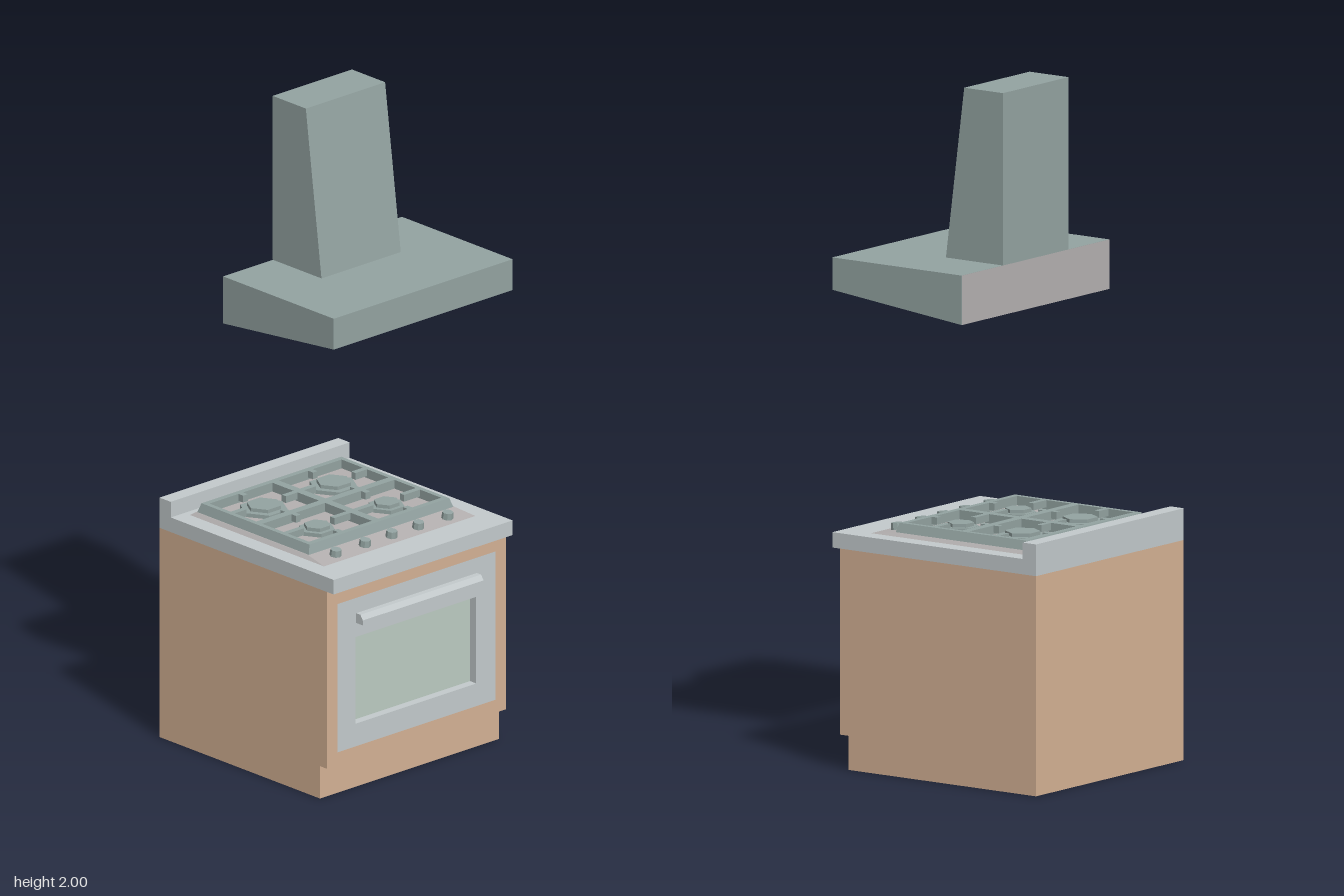
import * as THREE from 'three';

const mat = (color, extra = {}) => new THREE.MeshStandardMaterial({ color, flatShading: true, ...extra });

export function createModel() {
  const root = new THREE.Group();
  const wood = mat(0xd4b194), steel = mat(0xc3cacc), iron = mat(0x93a3a1);
  const grey = mat(0xb4b0b0), glass = mat(0xbccbc2);

  const add = (name, geo, material, x = 0, y = 0, z = 0) => {
    const m = new THREE.Mesh(geo, material);
    m.name = name;
    m.position.set(x, y, z);
    root.add(m);
    return m;
  };
  const box = (name, material, x0, x1, y0, y1, z0, z1) =>
    add(name, new THREE.BoxGeometry(x1 - x0, y1 - y0, z1 - z0), material,
      (x0 + x1) / 2, (y0 + y1) / 2, (z0 + z1) / 2);
  // side profile given as [z, y] points, swept across the width
  const sweep = (name, material, width, pts) => {
    const shape = new THREE.Shape(pts.map(p => new THREE.Vector2(...p)));
    const geo = new THREE.ExtrudeGeometry(shape, { depth: width, bevelEnabled: false });
    geo.rotateY(-Math.PI / 2).translate(width / 2, 0, 0);
    return add(name, geo, material);
  };
  const rect = (x0, x1, y0, y1, Type = THREE.Shape) => new Type([
    new THREE.Vector2(x0, y0), new THREE.Vector2(x1, y0),
    new THREE.Vector2(x1, y1), new THREE.Vector2(x0, y1)]);
  const holed = (outer, holes, depth) => {
    outer.holes.push(...holes);
    return new THREE.ExtrudeGeometry(outer, { depth, bevelEnabled: false });
  };

  // cabinet with toe kick and front frame
  box('cabinet', wood, -0.352, 0.352, 0, 0.645, -0.368, 0.31);
  add('frontFrame', holed(rect(-0.352, 0.352, 0.1, 0.645),
    [rect(-0.31, 0.31, 0.14, 0.597, THREE.Path)], 0.03), wood, 0, 0, 0.31);

  // oven door, recessed window, handle
  add('ovenDoor', holed(rect(-0.31, 0.31, 0.14, 0.597),
    [rect(-0.24, 0.235, 0.21, 0.477, THREE.Path)], 0.03), steel, 0, 0, 0.31);
  box('ovenWindow', glass, -0.24, 0.235, 0.21, 0.477, 0.305, 0.314);
  sweep('ovenHandle', steel, 0.475, [[0.335, 0.52], [0.368, 0.52], [0.368, 0.535], [0.358, 0.55], [0.335, 0.55]]);

  // worktop with upstand at the back
  sweep('worktop', steel, 0.704, [[-0.368, 0.645], [0.368, 0.645], [0.368, 0.69],
    [-0.32, 0.69], [-0.32, 0.738], [-0.368, 0.738]]);

  // hob plate: bevelled sides and a sloped control strip at the front
  const plate = new THREE.BoxGeometry(0.6, 0.01, 0.58);
  const pp = plate.attributes.position;
  for (let i = 0; i < pp.count; i++) {
    const top = pp.getY(i) > 0, sx = Math.sign(pp.getX(i)), front = pp.getZ(i) > 0;
    if (top) pp.setXYZ(i, sx * 0.287, 0.70, front ? 0.19 : -0.283);
    else pp.setXYZ(i, sx * 0.3, 0.688, front ? 0.285 : -0.3);
  }
  add('hobPlate', plate, grey);

  // pan support: frame with four openings, outer walls flaring downwards
  const midZ = -0.045, barHalf = 0.013, top = 0.727;
  const openings = [];
  for (const sx of [-1, 1]) {
    const x0 = sx < 0 ? -0.26 : barHalf, x1 = sx < 0 ? -barHalf : 0.26;
    openings.push(rect(x0, x1, -midZ + barHalf, 0.255, THREE.Path));
    openings.push(rect(x0, x1, -0.165, -midZ - barHalf, THREE.Path));
  }
  const frame = holed(rect(-0.275, 0.275, -0.183, 0.273), openings, 0.029);
  frame.rotateX(-Math.PI / 2);
  const fp = frame.attributes.position;
  for (let i = 0; i < fp.count; i++) {
    if (fp.getY(i) > 0.001) continue;
    const x = fp.getX(i), z = fp.getZ(i);
    if (Math.abs(x) > 0.27) fp.setX(i, x + Math.sign(x) * 0.01);
    if (z > 0.18) fp.setZ(i, z + 0.008);
    if (z < -0.27) fp.setZ(i, z - 0.008);
  }
  add('panSupport', frame, iron, 0, top - 0.029, 0);

  // burners and the support fingers around each one
  const y0 = 0.706;
  for (const sx of [-1, 1]) {
    for (const [z, r, back, front] of [[-0.157, 0.072, -0.255, midZ - barHalf], [0.067, 0.054, midZ + barHalf, 0.165]]) {
      const x = sx * 0.137, gap = r + 0.006;
      const hex = (name, rad, h, y) => add(name,
        new THREE.CylinderGeometry(rad, rad, h, 6).rotateY(Math.PI / 6), iron, x, y, z);
      hex('burnerBase', r, 0.013, 0.705);
      hex('burnerCap', r * 0.72, 0.012, 0.716);
      const xi = x - 0.009, xo = x + 0.009;
      box('supportFinger', iron, x + gap, sx > 0 ? 0.262 : -0.012, y0, top, z - 0.009, z + 0.009);
      box('supportFinger', iron, sx > 0 ? 0.012 : -0.262, x - gap, y0, top, z - 0.009, z + 0.009);
      box('supportFinger', iron, xi, xo, y0, top, back - 0.002, back + 0.02);
      box('supportFinger', iron, xi, xo, y0, top, front - 0.02, front + 0.002);
    }
  }

  // control knobs
  for (const x of [-0.22, -0.105, 0, 0.105, 0.22]) {
    const knob = add('controlKnob', new THREE.CylinderGeometry(0.016, 0.018, 0.022, 8), iron, x, 0.703, 0.235);
    knob.rotation.x = 0.12;
  }

  // extractor hood with a plain back, and its tapered chimney
  sweep('hoodCanopy', iron, 0.704, [[-0.099, 1.35], [0.368, 1.4], [0.368, 1.495], [-0.099, 1.495]]);
  add('hoodBack', new THREE.PlaneGeometry(0.704, 0.145).rotateY(Math.PI), grey, 0, 1.4225, -0.1);
  sweep('hoodChimney', iron, 0.312, [[-0.1, 1.495], [0.106, 1.495], [0.04, 2], [-0.1, 2]]);

  return root;
}
